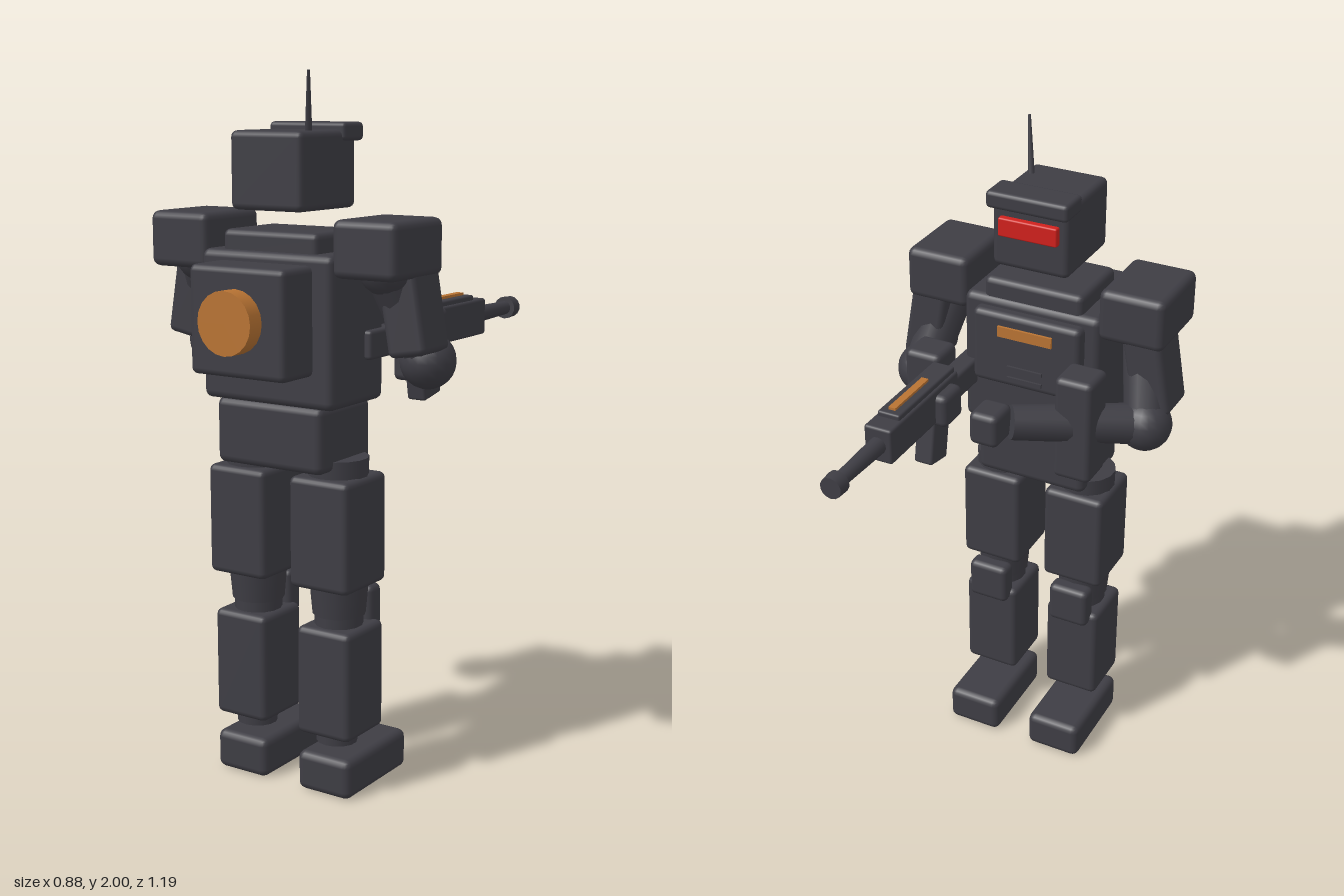
import * as THREE from 'three';
import { RoundedBoxGeometry } from 'three/addons/geometries/RoundedBoxGeometry.js';

export function createModel() {
  const armour = new THREE.MeshStandardMaterial({ color: 0x3e3d44 });
  armour.name = 'armour grey';
  const copper = new THREE.MeshStandardMaterial({ color: 0xb87333 });
  copper.name = 'copper';
  const red = new THREE.MeshStandardMaterial({ color: 0xd0201c });
  red.name = 'visor red';

  const model = new THREE.Group();
  model.name = 'robotSoldier';

  const group = (name) => {
    const g = new THREE.Group();
    g.name = name;
    model.add(g);
    return g;
  };
  const add = (parent, name, geometry, material = armour) => {
    const mesh = new THREE.Mesh(geometry, material);
    mesh.name = name;
    parent.add(mesh);
    return mesh;
  };
  // Rounded box given by its min/max extent on each axis
  const box = (parent, name, [x0, x1], [y0, y1], [z0, z1], r = 0.018, material = armour) => {
    const size = [x1 - x0, y1 - y0, z1 - z0];
    const radius = Math.min(r, Math.min(...size) * 0.45);
    const mesh = add(parent, name, new RoundedBoxGeometry(...size, 2, radius), material);
    mesh.position.set((x0 + x1) / 2, (y0 + y1) / 2, (z0 + z1) / 2);
    return mesh;
  };
  // Sharp thin plate
  const plate = (parent, name, size, pos, material) => {
    const mesh = add(parent, name, new THREE.BoxGeometry(...size), material);
    mesh.position.set(...pos);
    return mesh;
  };
  // Tapered cylinder between two points
  const rod = (parent, name, from, to, r0, r1, sides = 14, material = armour) => {
    const a = new THREE.Vector3(...from), b = new THREE.Vector3(...to);
    const dir = b.clone().sub(a);
    const mesh = add(parent, name, new THREE.CylinderGeometry(r1, r0, dir.length(), sides), material);
    mesh.position.copy(a).add(b).multiplyScalar(0.5);
    mesh.quaternion.setFromUnitVectors(new THREE.Vector3(0, 1, 0), dir.normalize());
    return mesh;
  };
  const ball = (parent, name, r, pos) => {
    add(parent, name, new THREE.SphereGeometry(r, 18, 12)).position.set(...pos);
  };
  const spanX = (s, a, b) => (s > 0 ? [a, b] : [-b, -a]);

  // Head, facing -z
  const head = group('head');
  box(head, 'skull', [-0.117, 0.117], [1.635, 1.845], [0.145, 0.41]);
  box(head, 'brow', [-0.125, 0.125], [1.815, 1.865], [0.118, 0.217], 0.012);
  box(head, 'visor', [-0.09, 0.09], [1.735, 1.79], [0.126, 0.16], 0.005, red);
  rod(head, 'antenna', [0.088, 1.835, 0.332], [0.113, 2.0, 0.367], 0.01, 0.004, 8);

  // Torso
  const torso = group('torso');
  box(torso, 'chest', [-0.215, 0.215], [1.115, 1.528], [0.155, 0.415], 0.022);
  box(torso, 'collar', [-0.155, 0.155], [1.5, 1.582], [0.165, 0.395]);
  box(torso, 'chestPlate', [-0.17, 0.17], [1.27, 1.5], [0.12, 0.18]);
  plate(torso, 'chestStripe', [0.17, 0.032, 0.009], [0, 1.447, 0.1165], copper);
  for (const y of [1.3, 1.335]) plate(torso, 'chestVent', [0.11, 0.012, 0.009], [0, y, 0.1175], armour);
  box(torso, 'pelvis', [-0.175, 0.175], [0.935, 1.12], [0.16, 0.41], 0.022);

  // Backpack with its round copper cell
  const pack = group('backpack');
  box(pack, 'packBody', [-0.155, 0.155], [1.205, 1.5], [0.4, 0.545]);
  rod(pack, 'powerCell', [0, 1.357, 0.54], [0, 1.357, 0.595], 0.086, 0.086, 20, copper);

  // Legs
  for (const s of [-1, 1]) {
    const leg = group(s > 0 ? 'leftLeg' : 'rightLeg');
    const x = s * 0.14;
    rod(leg, 'upperLegCore', [x, 0.59, 0.27], [x, 0.965, 0.272], 0.078, 0.086);
    box(leg, 'thigh', spanX(s, 0.042, 0.235), [0.6, 0.915], [0.17, 0.375]);
    rod(leg, 'kneeJoint', [x, 0.515, 0.268], [x, 0.605, 0.268], 0.075, 0.083);
    rod(leg, 'lowerLegCore', [x, 0.14, 0.28], [x, 0.53, 0.268], 0.058, 0.07);
    box(leg, 'kneePad', [x - 0.065, x + 0.065], [0.452, 0.582], [0.145, 0.205]);
    box(leg, 'shin', spanX(s, 0.055, 0.23), [0.17, 0.485], [0.175, 0.36]);
    box(leg, 'foot', spanX(s, 0.055, 0.23), [0, 0.115], [0.047, 0.36], 0.022);
  }

  // Arms: the right reaches across the front, the left holds the rifle
  const poses = [
    { s: -1, wrist: [-0.055, 1.285, -0.077], hand: [-0.008, 1.285, -0.108],
      guard: [[-0.27, -0.155], [1.1, 1.42], [-0.015, 0.1]] },
    { s: 1, wrist: [0.19, 1.27, -0.04], hand: [0.175, 1.275, -0.06],
      guard: [[0.23, 0.345], [1.165, 1.365], [0.028, 0.14]] },
  ];
  for (const { s, wrist, hand, guard } of poses) {
    const arm = group(s > 0 ? 'leftArm' : 'rightArm');
    const shoulder = [s * 0.305, 1.5, 0.28], elbow = [s * 0.36, 1.235, 0.165];
    box(arm, 'shoulderPad', spanX(s, 0.205, 0.402), [1.468, 1.622], [0.155, 0.405], 0.022);
    ball(arm, 'shoulderJoint', 0.085, shoulder);
    rod(arm, 'upperArm', shoulder, elbow, 0.07, 0.062);
    const cover = box(arm, 'upperArmPlate', [-0.057, 0.057], [-0.125, 0.125], [-0.072, 0.072]);
    cover.position.set(s * 0.352, 1.385, 0.233);
    cover.rotation.z = s * 0.17;
    ball(arm, 'elbow', 0.078, elbow);
    rod(arm, 'forearm', elbow, wrist, 0.06, 0.05);
    box(arm, 'forearmGuard', ...guard);
    const [hx, hy, hz] = hand;
    box(arm, 'hand', [hx - 0.044, hx + 0.044], [hy - 0.05, hy + 0.05], [hz - 0.051, hz + 0.051]);
  }

  // Rifle
  const rifle = group('rifle');
  const gx = 0.208;
  box(rifle, 'receiver', [gx - 0.043, gx + 0.043], [1.235, 1.342], [-0.355, 0.025], 0.008);
  box(rifle, 'topRail', [gx - 0.035, gx + 0.035], [1.33, 1.357], [-0.295, 0.02], 0.006);
  plate(rifle, 'railStripe', [0.022, 0.009, 0.185], [gx, 1.36, -0.182], copper);
  box(rifle, 'stock', [gx - 0.035, gx + 0.027], [1.235, 1.315], [0.01, 0.255], 0.01);
  const magazine = box(rifle, 'magazine', [-0.03, 0.03], [-0.085, 0.085], [-0.046, 0.046], 0.008);
  magazine.position.set(gx, 1.17, -0.058);
  magazine.rotation.x = 0.18;
  rod(rifle, 'barrel', [gx, 1.288, -0.35], [gx, 1.288, -0.57], 0.026, 0.02);
  rod(rifle, 'muzzle', [gx, 1.288, -0.555], [gx, 1.288, -0.595], 0.034, 0.032);

  return model;
}
